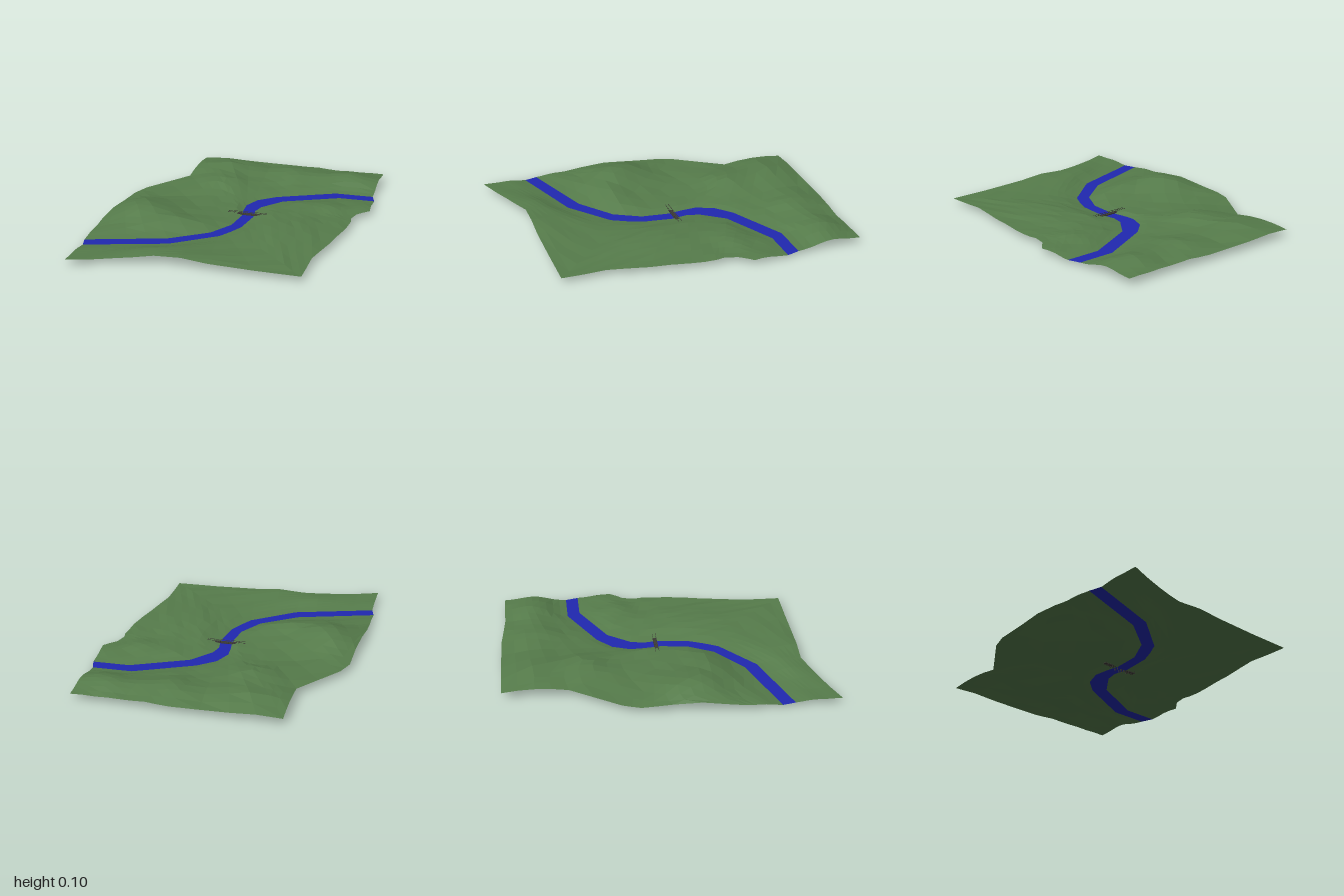
import * as THREE from 'three';

const WATER = 0.018;

// Each column runs from the river bank to the outer edge: [bankX, bankZ, edgeX, edgeZ]
const NORTH = [
  [-0.79, 0.64, -0.79, 0.34], [-0.55, 0.565, -0.765, 0], [-0.31, 0.49, -0.76, -0.19],
  [-0.09, 0.33, -0.72, -0.3], [0, 0.17, -0.51, -0.6], [0.02, 0, -0.51, -0.8],
  [0.005, -0.1, -0.51, -1], [0, -0.19, -0.2, -1], [0.045, -0.3, 0.15, -0.995],
  [0.15, -0.39, 0.3, -0.98], [0.33, -0.475, 0.44, -0.97], [0.51, -0.56, 0.6, -0.97],
  [0.755, -0.56, 0.755, -0.97],
];
const SOUTH = [
  [-0.77, 0.72, -0.77, 1], [-0.525, 0.645, -0.5, 0.91], [-0.28, 0.57, -0.28, 0.845],
  [-0.02, 0.37, 0.05, 0.86], [0.03, 0.28, 0.605, 0.87], [0.07, 0.19, 0.605, 0.6],
  [0.095, 0, 0.655, 0.35], [0.08, -0.1, 0.7, 0.1], [0.1, -0.18, 0.71, -0.05],
  [0.21, -0.32, 0.7, -0.1], [0.38, -0.4, 0.72, -0.18], [0.55, -0.48, 0.79, -0.26],
  [0.78, -0.48, 0.78, -0.36],
];

// Hills: [x, z, width, depth, height]
const HILLS = [
  [-0.58, 0.13, 0.19, 0.2, 0.07], [-0.3, 0.28, 0.25, 0.13, 0.035],
  [-0.24, -0.5, 0.17, 0.15, 0.05], [-0.28, -0.8, 0.25, 0.17, 0.052],
  [0.2, -0.78, 0.16, 0.16, 0.042], [0.58, -0.79, 0.2, 0.13, 0.048],
  [-0.18, 0.79, 0.28, 0.18, 0.028], [0.35, 0.2, 0.2, 0.32, 0.024],
  [0.5, -0.24, 0.16, 0.1, 0.02],
];

// Ground height: hills that fade to water level at the bank
function groundHeight(x, z, bankDistance) {
  let h = 0.013;
  for (const [hx, hz, sx, sz, k] of HILLS) {
    h += k * Math.exp(-(((x - hx) / sx) ** 2) - ((z - hz) / sz) ** 2);
  }
  h += 0.004 * Math.sin(x * 23 + z * 9) * Math.sin(z * 19 - x * 7);
  return WATER + h * THREE.MathUtils.smoothstep(bankDistance, -0.02, 0.15);
}

// Surface through a grid of columns of [x, y, z]
function gridSurface(columns, flip) {
  const rows = columns[0].length;
  const index = [];
  for (let i = 0; i < columns.length - 1; i++) {
    for (let j = 0; j < rows - 1; j++) {
      const a = i * rows + j, b = a + rows;
      const quad = [a, b, a + 1, b, b + 1, a + 1];
      index.push(...(flip ? quad.reverse() : quad));
    }
  }
  const geometry = new THREE.BufferGeometry();
  geometry.setAttribute('position', new THREE.Float32BufferAttribute(columns.flat(2), 3));
  geometry.setIndex(index);
  geometry.computeVertexNormals();
  return geometry;
}

function landGeometry(side, flip) {
  const steps = 9;
  const columns = [];
  for (let i = 0; i <= (side.length - 1) * 2; i++) {
    const a = side[Math.floor(i / 2)], b = side[Math.ceil(i / 2)];
    const [bx, bz, ex, ez] = a.map((v, k) => (v + b[k]) / 2);
    const length = Math.hypot(ex - bx, ez - bz);
    const column = [];
    for (let j = 0; j <= steps; j++) {
      const t = j / steps;
      const x = bx + (ex - bx) * t, z = bz + (ez - bz) * t;
      column.push([x, j ? groundHeight(x, z, t * length) : WATER, z]);
    }
    columns.push(column);
  }
  return gridSurface(columns, flip);
}

function createBridge() {
  const bridge = new THREE.Group();
  bridge.name = 'bridge';
  const wood = new THREE.MeshStandardMaterial({ color: 0x3d3b36 });
  const beam = (name, w, h, d, x, y, z) => {
    const mesh = new THREE.Mesh(new THREE.BoxGeometry(w, h, d), wood);
    mesh.name = name;
    mesh.position.set(x, y, z);
    bridge.add(mesh);
  };
  // Planked deck
  for (let i = 0; i < 20; i++) beam('plank', 0.0115, 0.003, 0.024, -0.119 + i * 0.0125, 0.023, 0);
  for (const z of [-0.01, 0.01]) {
    beam('girder', 0.25, 0.003, 0.003, 0, 0.02, z);
    beam('handrail', 0.25, 0.002, 0.002, 0, 0.034, z);
    for (let i = 0; i < 7; i++) beam('railPost', 0.002, 0.012, 0.002, -0.12 + i * 0.04, 0.0285, z);
    // Piles standing in the river bed, deepest in midstream
    for (const [x, foot] of [[-0.065, 0.01], [-0.025, 0.004], [0.008, 0], [0.03, 0.004], [0.07, 0.01]]) {
      beam('pile', 0.005, 0.019 - foot, 0.005, x, (0.019 + foot) / 2, z);
    }
  }
  bridge.position.set(0.05, 0, -0.024);
  return bridge;
}

export function createModel() {
  const model = new THREE.Group();
  const add = (name, geometry, color) => {
    const material = new THREE.MeshStandardMaterial({ color, flatShading: true, side: THREE.DoubleSide });
    const mesh = new THREE.Mesh(geometry, material);
    mesh.name = name;
    model.add(mesh);
  };
  add('northLand', landGeometry(NORTH, false), 0x567c4b);
  add('southLand', landGeometry(SOUTH, true), 0x567c4b);

  // River ribbon between the two banks
  const ribbon = NORTH.map(([x, z], i) => [[x, WATER, z], [SOUTH[i][0], WATER, SOUTH[i][1]]]);
  add('river', gridSurface(ribbon, true), 0x2028b0);

  model.add(createBridge());
  return model;
}
